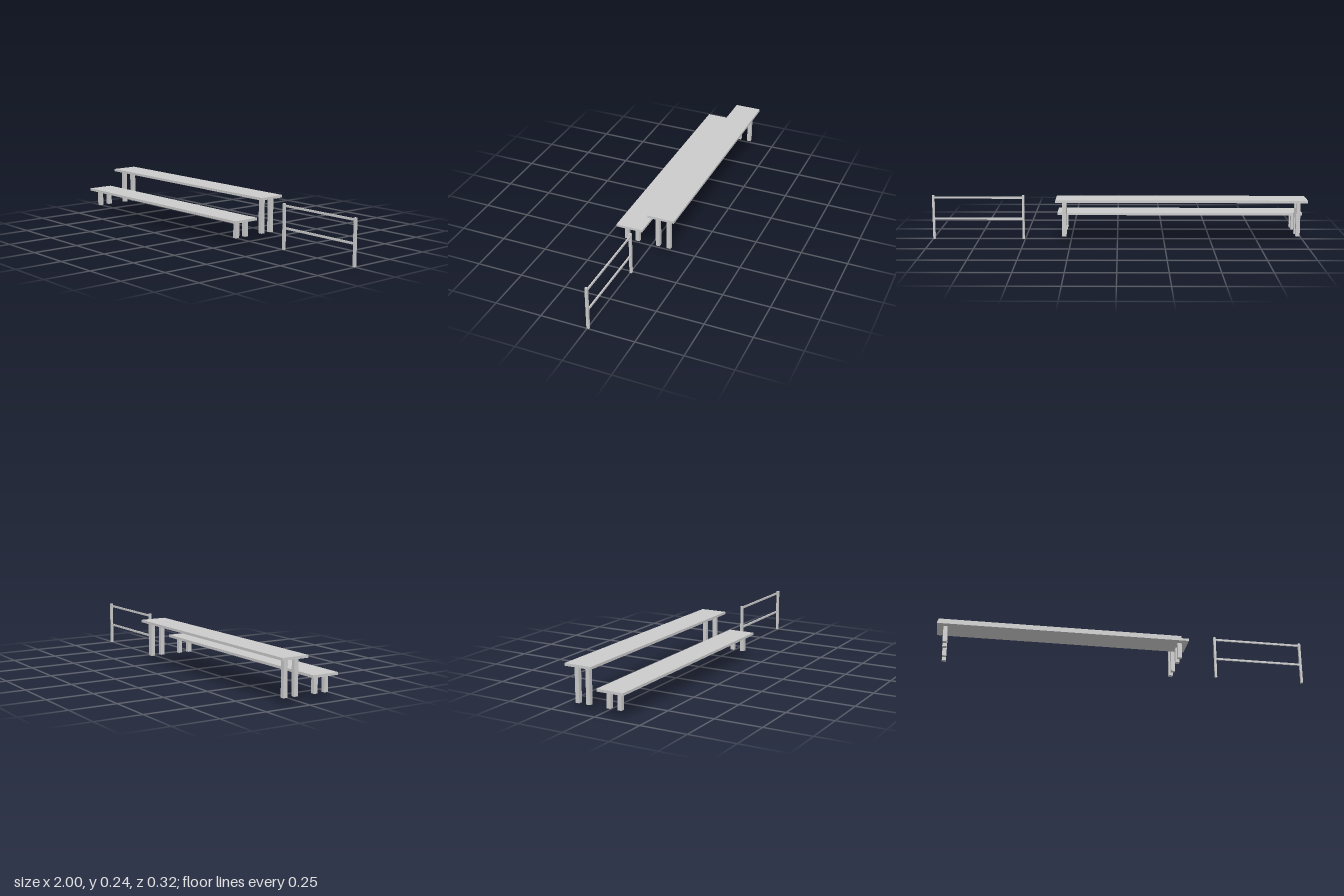
import * as THREE from 'three';

const material = new THREE.MeshStandardMaterial({ color: 0xcccccc });

// Box given by its minimum and maximum on each axis
function box(name, [x0, x1], [y0, y1], [z0, z1]) {
  const mesh = new THREE.Mesh(new THREE.BoxGeometry(x1 - x0, y1 - y0, z1 - z0), material);
  mesh.name = name;
  mesh.position.set((x0 + x1) / 2, (y0 + y1) / 2, (z0 + z1) / 2);
  return mesh;
}

// Plank bench with a pair of square legs near each end
function bench(name, top, z) {
  const group = new THREE.Group();
  group.name = name;
  const centre = -0.337, bottom = 0.041, seatUnder = top - 0.0135, h = 0.011;
  group.add(box('seat', [-1, 0.326], [seatUnder, top], [z - 0.0735, z + 0.0735]));
  for (const sx of [-1, 1]) {
    for (const sz of [-1, 1]) {
      const lx = centre + sx * 0.619, lz = z + sz * 0.0307;
      group.add(box('leg', [lx - h, lx + h], [bottom, seatUnder], [lz - h, lz + h]));
    }
  }
  return group;
}

// Two posts joined by two thin rails set toward the back
function handrail() {
  const group = new THREE.Group();
  group.name = 'handrail';
  for (const x of [0.503, 0.988]) {
    group.add(box('post', [x, x + 0.012], [0, 0.239], [-0.0105, 0.0035]));
  }
  for (const y of [0.227, 0.1115]) {
    group.add(box('rail', [0.514, 0.989], [y - 0.0055, y + 0.0055], [-0.01, -0.003]));
  }
  return group;
}

export function createModel() {
  const model = new THREE.Group();
  model.name = 'benchesAndHandrail';
  model.add(bench('lowBench', 0.14, 0.089), bench('highBench', 0.24, -0.088), handrail());
  return model;
}
